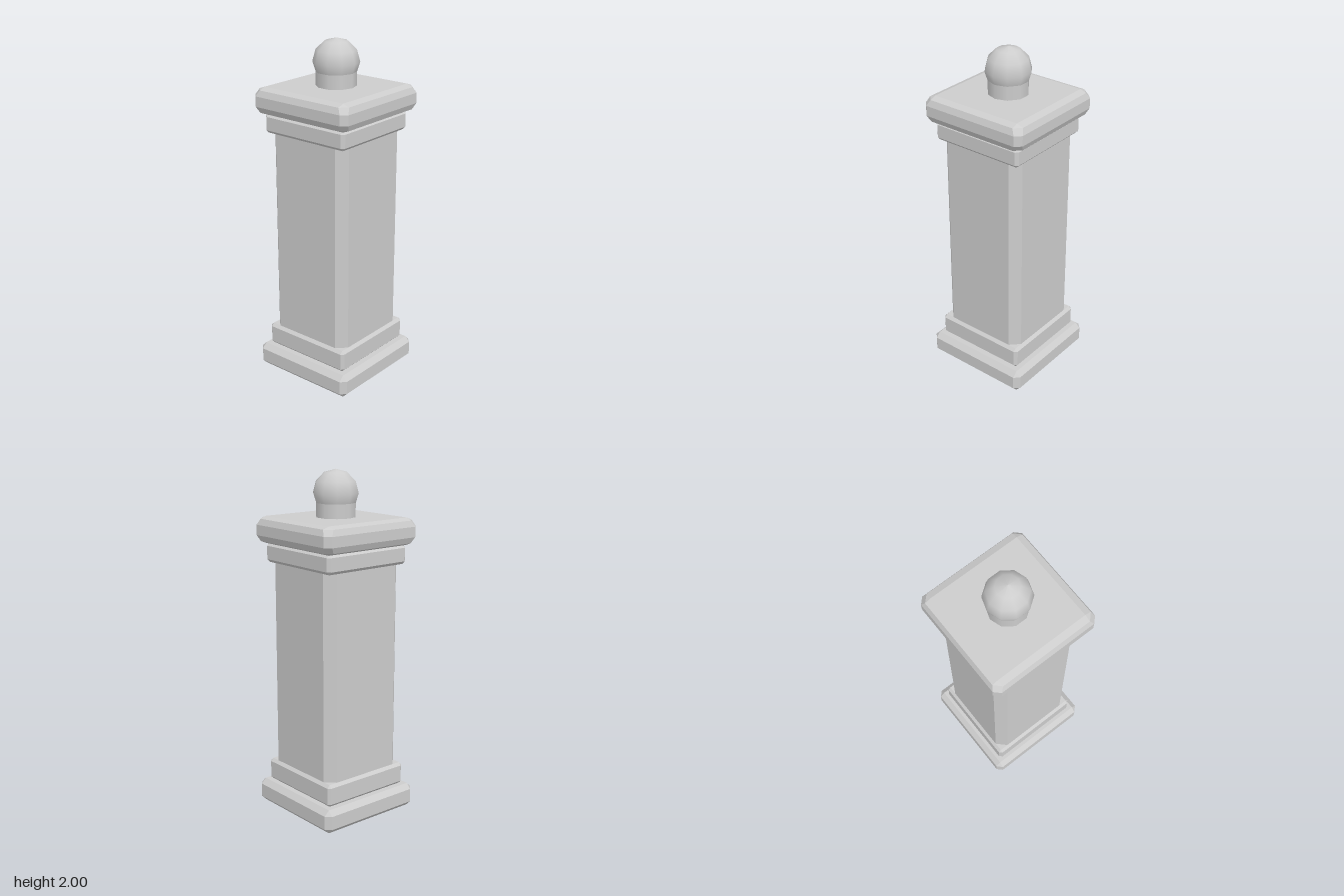
import * as THREE from 'three';

const stone = new THREE.MeshStandardMaterial({ color: 0xcccccc });
stone.name = 'stone';

// Square outline with half width h and corners cut by c, counter-clockwise from above
function outline([y, h, c]) {
  const k = h - c;
  return [[h, k], [h, -k], [k, -h], [-k, -h], [-h, -k], [-h, k], [-k, h], [k, h]]
    .map(([x, z]) => new THREE.Vector3(x, y, z));
}

// Faceted block lofted through rings of [height, half width, corner cut], from the bottom up
function block(name, rings) {
  const loops = rings.map(outline);
  const points = [];
  const triangle = (a, b, c) => {
    const area = new THREE.Triangle(a, b, c).getArea();
    if (area > 1e-8) points.push(a, b, c);
  };
  for (let r = 0; r < loops.length - 1; r++) {
    for (let i = 0; i < 8; i++) {
      const j = (i + 1) % 8;
      const lower = loops[r], upper = loops[r + 1];
      triangle(lower[i], lower[j], upper[j]);
      triangle(lower[i], upper[j], upper[i]);
    }
  }
  const bottom = loops[0], top = loops[loops.length - 1];
  for (let i = 1; i < 7; i++) {
    triangle(bottom[0], bottom[i + 1], bottom[i]);
    triangle(top[0], top[i], top[i + 1]);
  }
  const geometry = new THREE.BufferGeometry().setFromPoints(points);
  geometry.computeVertexNormals();
  const mesh = new THREE.Mesh(geometry, stone);
  mesh.name = name;
  return mesh;
}

// Square slab with one bevel on every edge
const slab = (name, y0, y1, h, b) => block(name, [
  [y0, h - b, 0], [y0 + b, h, b], [y1 - b, h, b], [y1, h - b, 0],
]);

// Ten-sided turned part with smooth sides
function turned(name, profile) {
  const points = profile.map(([r, y]) => new THREE.Vector2(r, y));
  const mesh = new THREE.Mesh(new THREE.LatheGeometry(points, 10), stone);
  mesh.name = name;
  return mesh;
}

export function createModel() {
  const pillar = new THREE.Group();
  pillar.name = 'pillar';

  // Stepped foot
  pillar.add(slab('basePlinth', 0, 0.14, 0.333, 0.03));
  pillar.add(slab('baseCollar', 0.14, 0.272, 0.285, 0.017));

  // Shaft with cut corners
  pillar.add(block('shaft', [[0.26, 0.268, 0.053], [1.485, 0.268, 0.053]]));

  // Collar and rounded cap
  pillar.add(slab('topCollar', 1.472, 1.583, 0.285, 0.017));
  pillar.add(block('cap', [
    [1.58, 0.28, 0], [1.594, 0.318, 0.038], [1.628, 0.333, 0.033],
    [1.687, 0.333, 0.033], [1.721, 0.318, 0.038], [1.735, 0.28, 0],
  ]));

  // Neck and ball finial
  pillar.add(turned('finialNeck', [[0.115, 1.73], [0.115, 1.815]]));
  const ball = [];
  for (let i = 0; i <= 4; i++) {
    const a = (4 - i) * Math.PI / 6;
    ball.push([0.132 * Math.sin(a), 1.868 + 0.132 * Math.cos(a)]);
  }
  ball[0] = [0.115, 1.815];
  pillar.add(turned('finialBall', ball));

  return pillar;
}
